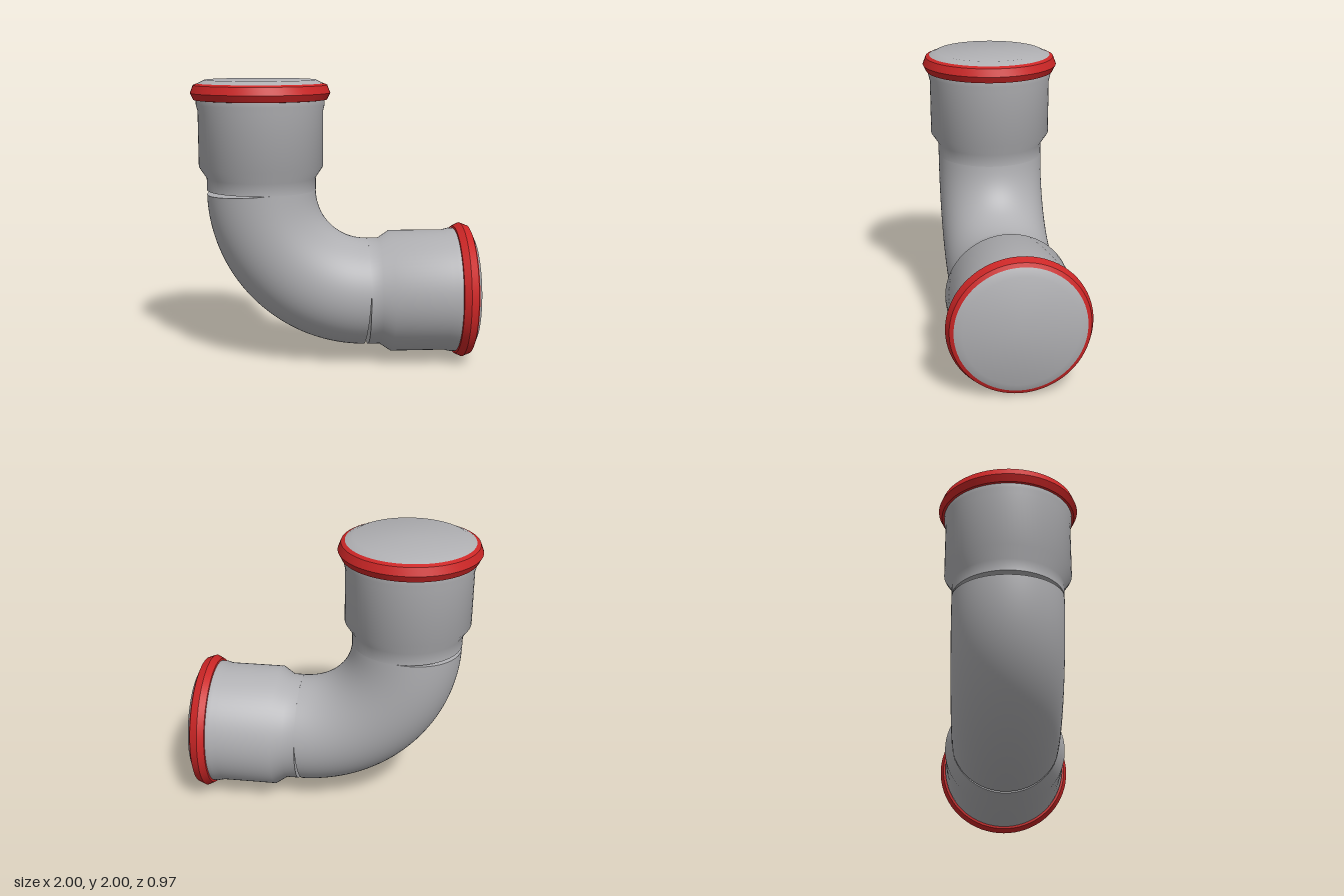
import * as THREE from 'three';
import { toCreasedNormals } from 'three/addons/utils/BufferGeometryUtils.js';

const SEGMENTS = 72;
const CORNER = new THREE.Vector3(-0.514, 0.486, 0); // where the two pipe axes meet
const BEND = 0.745; // bend radius, and distance from the corner to each bend end
const PIPE = 0.383; // pipe radius
const TILT = THREE.MathUtils.degToRad(4); // end rings lean, opening a thin slit

// Quarter circle from the upright arm to the level arm
class ElbowCurve extends THREE.Curve {
  getPoint(t, target = new THREE.Vector3()) {
    const a = Math.PI * (1 + t / 2);
    return target.set(BEND * (1 + Math.cos(a)), BEND * (1 + Math.sin(a)), 0);
  }
  getTangent(t, target = new THREE.Vector3()) {
    const a = Math.PI * (1 + t / 2) + TILT * Math.pow(1 - 2 * t, 7);
    return target.set(-Math.sin(a), Math.cos(a), 0);
  }
}

function lathe(points, crease) {
  const profile = points.map(([r, y]) => new THREE.Vector2(r, y));
  return toCreasedNormals(new THREE.LatheGeometry(profile, SEGMENTS), crease);
}

export function createModel() {
  const grey = new THREE.MeshStandardMaterial({ color: 0xb0b0b3 });
  grey.name = 'pipe grey';
  const red = new THREE.MeshStandardMaterial({ color: 0xcc2626 });
  red.name = 'seal red';

  const model = new THREE.Group();
  model.name = 'pipeElbow';
  const add = (parent, name, geometry, material) => {
    const mesh = new THREE.Mesh(geometry, material);
    mesh.name = name;
    parent.add(mesh);
    return mesh;
  };

  // Curved pipe with closed ends
  const elbow = new THREE.Group();
  elbow.name = 'elbow';
  elbow.position.copy(CORNER);
  model.add(elbow);
  const curve = new ElbowCurve();
  add(elbow, 'bend', new THREE.TubeGeometry(curve, 64, PIPE, SEGMENTS), grey);
  for (const t of [0, 1]) {
    const cap = add(elbow, 'bendEnd', new THREE.CircleGeometry(PIPE, SEGMENTS), grey);
    const outward = curve.getTangent(t).multiplyScalar(t ? 1 : -1);
    cap.position.copy(curve.getPoint(t));
    cap.quaternion.setFromUnitVectors(new THREE.Vector3(0, 0, 1), outward);
  }

  // Socket profile: collar, shoulder, sleeve, slight flare, chamfered end
  const socketGeometry = lathe([
    [0, 0.749], [PIPE, 0.749], [PIPE, 0.834], [0.436, 0.914], [0.436, 1.3],
    [0.447, 1.345], [0.447, 1.38], [0.44, 1.488], [0.385, 1.514], [0, 1.514],
  ], 0.65);
  // Red bead around the socket mouth
  const sealGeometry = lathe([
    [0.43, 1.374], [0.463, 1.378], [0.486, 1.424], [0.465, 1.478], [0.438, 1.49],
  ], 0.5);

  // Upright socket and level socket
  [['upperSocket', 0], ['sideSocket', -Math.PI / 2]].forEach(([name, angle]) => {
    const arm = new THREE.Group();
    arm.name = name;
    arm.position.copy(CORNER);
    arm.rotation.z = angle;
    add(arm, 'sleeve', socketGeometry, grey);
    add(arm, 'sealRing', sealGeometry, red);
    model.add(arm);
  });

  return model;
}
